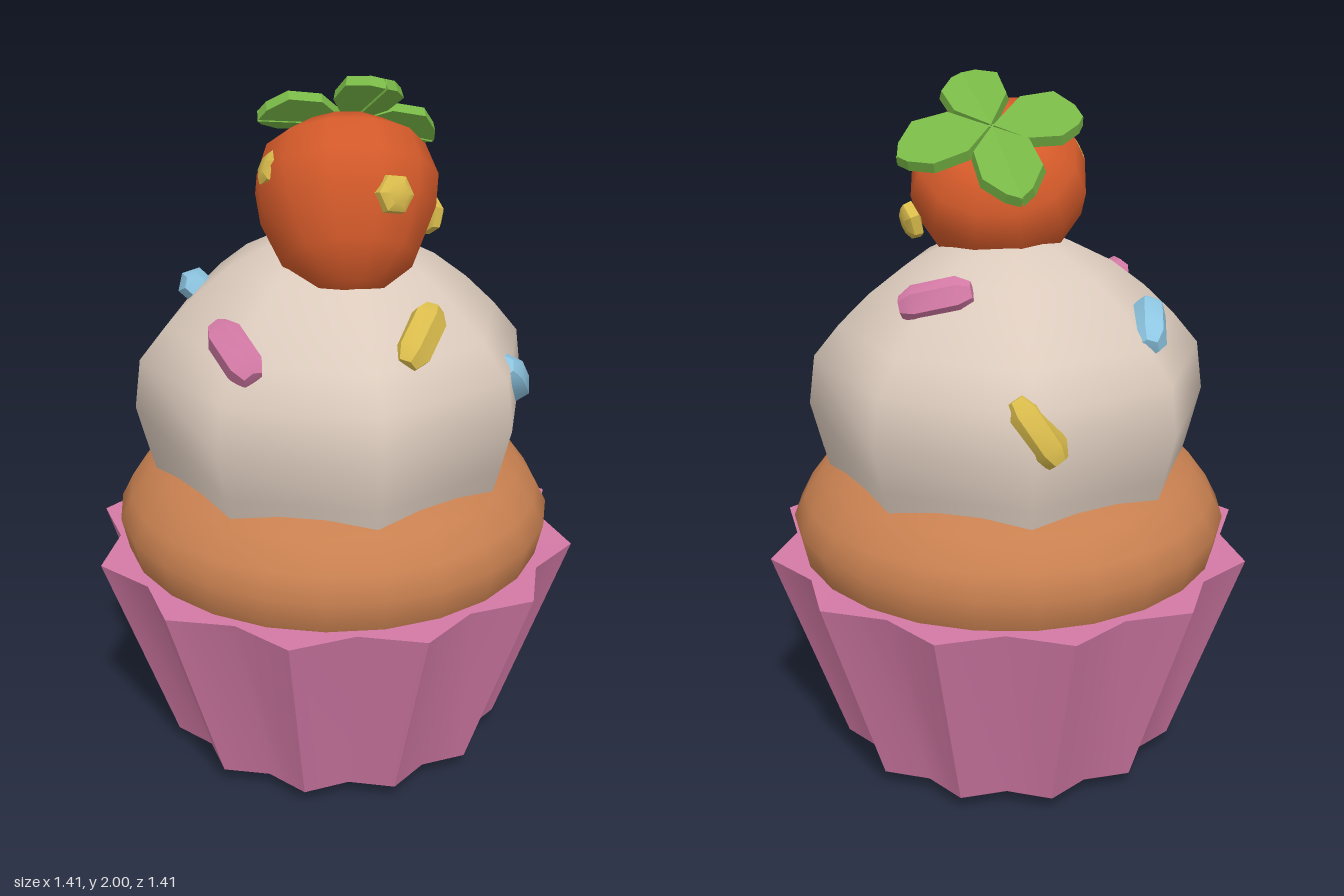
import * as THREE from 'three';
import { toCreasedNormals } from 'three/addons/utils/BufferGeometryUtils.js';

const material = (name, color) => {
  const m = new THREE.MeshStandardMaterial({ color });
  m.name = name;
  return m;
};
const vec = (a) => new THREE.Vector3(...a);

// Turned solid; points run from bottom to top
function turned(points, sides, phase = 0) {
  return new THREE.LatheGeometry(points.map((p) => new THREE.Vector2(...p)), sides, phase);
}

export function createModel() {
  const pink = material('pink', 0xd47aa6);
  const sponge = material('sponge', 0xc88050);
  const cream = material('cream', 0xdccbbd);
  const orange = material('berry orange', 0xd45a2a);
  const green = material('leaf green', 0x78b846);
  const yellow = material('yellow', 0xd9bb4c);
  const blue = material('blue', 0x8ec6e2);

  const model = new THREE.Group();
  model.name = 'cupcake';
  const add = (name, geometry, mat, parent = model) => {
    const mesh = new THREE.Mesh(geometry, mat);
    mesh.name = name;
    parent.add(mesh);
    return mesh;
  };

  // Pleated paper liner: every second column is pulled in to form the pleats
  const linerProfile = [[0, 0], [0.42, 0], [0.5, 0.05], [0.706, 0.65], [0.57, 0.648]];
  const liner = turned(linerProfile, 24);
  const pos = liner.attributes.position;
  for (let i = 0; i < pos.count; i++) {
    const column = Math.floor(i / linerProfile.length);
    const ring = i % linerProfile.length;
    if (column % 2 && ring < 4) {
      pos.setX(i, pos.getX(i) * 0.895);
      pos.setZ(i, pos.getZ(i) * 0.895);
    }
  }
  add('paperLiner', toCreasedNormals(liner, 0.6), pink);

  // Sponge top
  add('sponge', turned([
    [0.57, 0.6], [0.607, 0.65], [0.628, 0.745], [0.595, 0.81],
    [0.54, 0.885], [0.44, 0.95], [0.25, 0.97], [0, 0.975],
  ], 24, Math.PI / 24), sponge);

  // Eight-sided dome of frosting
  const flat = 1 / Math.cos(Math.PI / 8);
  add('frosting', turned([
    [0.475, 0.88], [0.495, 0.96], [0.525, 1.09], [0.508, 1.23], [0.44, 1.32],
    [0.36, 1.405], [0.27, 1.48], [0.16, 1.54], [0, 1.58],
  ].map(([r, y]) => [r * flat, y]), 8, Math.PI / 8), cream);

  // Berry, leaning so that its stem end points up and back
  const up = new THREE.Vector3(0, 1, 0);
  const stem = vec([-0.14, 0.8, -0.59]).normalize();
  const berryCentre = vec([0.05, 1.67, 0.08]);
  const berry = add('berry', turned([
    [0, -0.27], [0.09, -0.25], [0.18, -0.17], [0.238, -0.04], [0.25, 0.05],
    [0.22, 0.14], [0.13, 0.2], [0, 0.21],
  ], 12), orange);
  berry.position.copy(berryCentre);
  berry.quaternion.setFromUnitVectors(up, stem);

  // Seeds: small six-sided buttons facing outwards
  const seedShape = toCreasedNormals(
    turned([[0, -0.03], [0.055, -0.015], [0.052, 0.01], [0.03, 0.024], [0, 0.026]], 6), 0.6);
  for (const p of [[0.2, 1.74, 0.25], [-0.14, 1.77, 0.16], [0.26, 1.6, -0.07]]) {
    const seed = add('seed', seedShape, yellow);
    seed.position.copy(vec(p));
    seed.quaternion.setFromUnitVectors(up, vec(p).sub(berryCentre).normalize());
  }

  // Leaves: two thick halves each, folded along the midrib
  const leafRoot = vec([0.03, 1.86, -0.06]);
  const leafTips = [[0.15, 1.98, 0.06], [-0.2, 1.88, 0.03], [-0.11, 1.71, -0.26], [0.25, 1.79, -0.2]];
  for (const tip of leafTips) {
    const along = vec(tip).sub(leafRoot);
    const length = along.length();
    along.normalize();
    const side = new THREE.Vector3().crossVectors(stem, along).normalize();
    const normal = new THREE.Vector3().crossVectors(along, side);
    const leaf = new THREE.Group();
    leaf.name = 'leaf';
    leaf.position.copy(leafRoot);
    leaf.quaternion.setFromRotationMatrix(new THREE.Matrix4().makeBasis(along, side, normal));
    for (const s of [1, -1]) {
      const half = new THREE.Shape([
        [0, 0], [0.35 * length, 0.082 * s], [0.72 * length, 0.088 * s],
        [0.93 * length, 0.04 * s], [length, 0],
      ].map((p) => new THREE.Vector2(...p)));
      const geometry = new THREE.ExtrudeGeometry(half, { depth: 0.03, bevelEnabled: false });
      geometry.translate(0, 0, -0.015);
      add('leafHalf', geometry, green, leaf).rotation.x = 0.25 * s;
    }
    model.add(leaf);
  }

  // Sprinkles: centre, direction of the long axis, colour
  const sprinkleShape = toCreasedNormals(turned([
    [0, -0.1], [0.03, -0.098], [0.052, -0.06], [0.052, 0.06], [0.03, 0.098], [0, 0.1],
  ], 6), 0.7);
  const sprinkles = [
    [[-0.19, 1.345, 0.41], [0.1, -0.08, 0.1], pink],
    [[0.11, 1.45, -0.31], [0.17, -0.04, -0.04], pink],
    [[0.275, 1.37, 0.285], [-0.05, -0.1, 0.15], yellow],
    [[-0.21, 1.175, -0.48], [0.1, 0.13, 0.01], yellow],
    [[0.505, 1.17, 0.03], [-0.03, 0.13, 0.15], blue],
    [[-0.415, 1.355, -0.08], [0.04, 0.07, 0.18], blue],
  ];
  for (const [centre, direction, mat] of sprinkles) {
    const sprinkle = add('sprinkle', sprinkleShape, mat);
    sprinkle.position.copy(vec(centre));
    sprinkle.quaternion.setFromUnitVectors(up, vec(direction).normalize());
  }

  return model;
}
